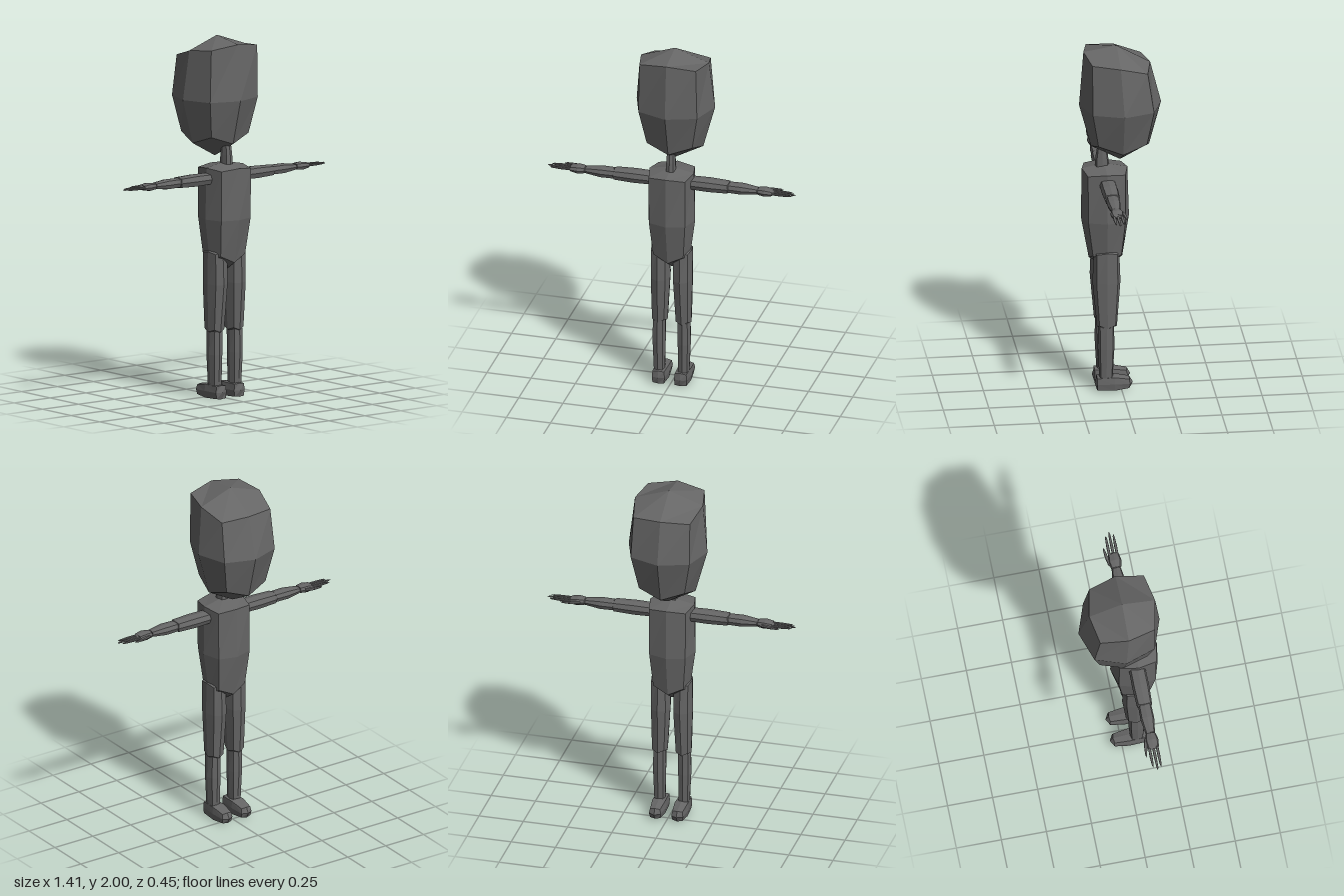
import * as THREE from 'three';

const skin = new THREE.MeshStandardMaterial({ color: 0x666666 });

// Level of a form: y = height, cz = centre depth, rx/rz = half sizes at the edge middles,
// k = corner inset, lift = corner height offset, tilt = slope along z.
const level = (y, cz, rx, rz, k = 0.78, lift = 0, tilt = 0, cx = 0) =>
  ({ y, cz, rx, rz, k, lift, tilt, cx });

// Cube with 2x2 quads per side, shaped by three levels and two cap points, in flat facets.
function form(bottomCap, levels, topCap) {
  const box = new THREE.BoxGeometry(2, 2, 2, 2, 2, 2);
  const p = box.attributes.position;
  for (let i = 0; i < p.count; i++) {
    const x = Math.round(p.getX(i)), y = Math.round(p.getY(i)), z = Math.round(p.getZ(i));
    const l = levels[y + 1];
    if (x === 0 && z === 0) {
      p.setXYZ(i, l.cx, y > 0 ? topCap : bottomCap, l.cz);
      continue;
    }
    const corner = x !== 0 && z !== 0;
    const k = corner ? l.k : 1;
    const pz = l.cz + z * l.rz * k;
    p.setXYZ(i, l.cx + x * l.rx * k, l.y + (corner ? l.lift : 0) + l.tilt * pz, pz);
  }
  const flat = box.toNonIndexed();
  flat.computeVertexNormals();
  return flat;
}

function add(parent, name, geometry) {
  const mesh = new THREE.Mesh(geometry, skin);
  mesh.name = name;
  parent.add(mesh);
  return mesh;
}

function makeLeg(side) {
  const leg = new THREE.Group();
  leg.name = side > 0 ? 'leftLeg' : 'rightLeg';
  add(leg, 'thigh', form(0.36, [
    level(0.375, 0.08, 0.042, 0.055, 0.8, 0.015, 0, side * 0.067),
    level(0.64, 0.082, 0.054, 0.077, 0.75, 0, 0, side * 0.063),
    level(0.82, 0.082, 0.05, 0.07, 0.8, -0.01, 0, side * 0.064),
  ], 0.86));
  add(leg, 'shin', form(0.06, [
    level(0.08, 0.085, 0.03, 0.037, 0.8, 0, 0, side * 0.069),
    level(0.25, 0.085, 0.037, 0.046, 0.75, 0, 0, side * 0.071),
    level(0.38, 0.085, 0.034, 0.044, 0.8, 0, 0, side * 0.07),
  ], 0.4));
  // Foot is shaped along its length, then laid down with the toe towards -z
  const foot = form(-0.147, [
    level(-0.135, 0.043, 0.036, 0.038, 0.9),
    level(-0.04, 0.043, 0.041, 0.043, 0.88),
    level(0.045, 0.04, 0.033, 0.031, 0.85, -0.005),
  ], 0.063);
  foot.rotateX(-Math.PI / 2);
  add(leg, 'foot', foot).position.x = side * 0.063;
  return leg;
}

function makeArm(side) {
  const arm = new THREE.Group();
  arm.name = side > 0 ? 'leftArm' : 'rightArm';
  arm.position.y = 1.225;
  // Shape along y, then turn outwards
  const limb = (name, ...shape) => add(arm, name, form(...shape).rotateZ(-side * Math.PI / 2));
  limb('upperArm', 0.06, [
    level(0.09, 0.08, 0.032, 0.045),
    level(0.21, 0.08, 0.035, 0.047),
    level(0.325, 0.08, 0.03, 0.042, 0.8, -0.005),
  ], 0.35);
  limb('forearm', 0.3, [
    level(0.32, 0.08, 0.027, 0.036),
    level(0.4, 0.08, 0.028, 0.038),
    level(0.485, 0.08, 0.017, 0.026),
  ], 0.505);
  limb('palm', 0.475, [
    level(0.49, 0.08, 0.018, 0.028),
    level(0.53, 0.08, 0.022, 0.037),
    level(0.57, 0.08, 0.014, 0.031),
  ], 0.585);
  // Three fingers
  for (const [z, tip] of [[0.058, 0.685], [0.08, 0.705], [0.101, 0.688]]) {
    limb('finger', 0.55, [
      level(0.56, z, 0.006, 0.007),
      level(0.62, z, 0.006, 0.008),
      level(tip - 0.015, z, 0.004, 0.005),
    ], tip);
  }
  limb('thumb', 0.5, [
    level(0.515, 0.052, 0.009, 0.012),
    level(0.56, 0.04, 0.008, 0.009),
    level(0.605, 0.034, 0.005, 0.005),
  ], 0.62);
  return arm;
}

export function createModel() {
  const figure = new THREE.Group();
  figure.name = 'figure';

  add(figure, 'head', form(1.33, [
    level(1.415, 0, 0.155, 0.16, 0.83, 0.045),
    level(1.66, 0, 0.222, 0.225, 0.745),
    level(1.93, 0.018, 0.192, 0.183, 0.83, -0.015, 0.2),
  ], 2.0));

  add(figure, 'neck', form(1.27, [
    level(1.29, 0.1, 0.027, 0.038),
    level(1.35, 0.1, 0.025, 0.035),
    level(1.41, 0.1, 0.022, 0.025),
  ], 1.43));

  add(figure, 'torso', form(0.7, [
    level(0.76, 0.08, 0.1, 0.092, 0.85, 0.04),
    level(1.0, 0.083, 0.132, 0.132, 0.77),
    level(1.285, 0.085, 0.125, 0.125, 0.82, -0.01),
  ], 1.31));

  for (const side of [1, -1]) figure.add(makeLeg(side), makeArm(side));
  return figure;
}
